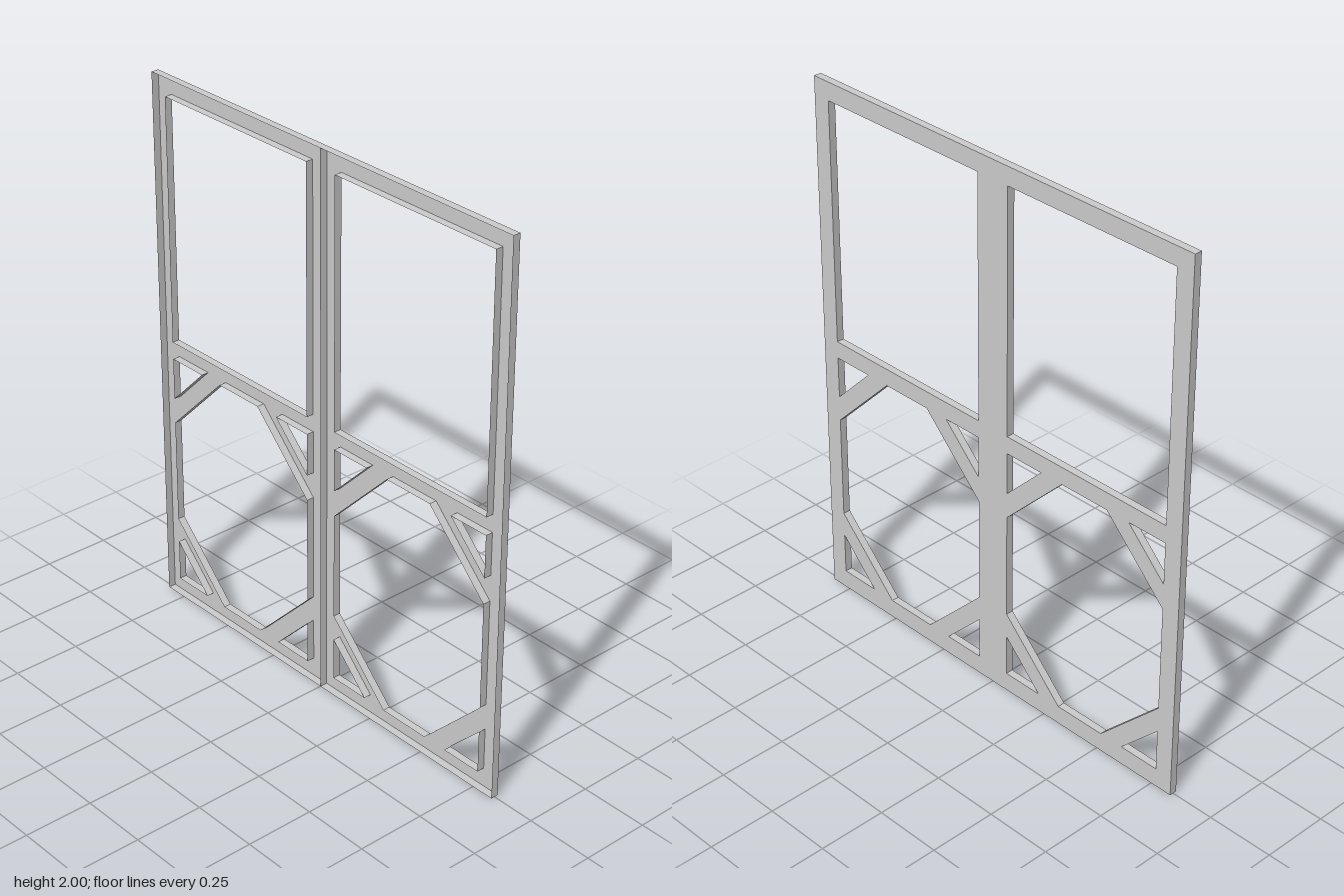
import * as THREE from 'three';

const DEPTH = 0.028;
const WIDTH = 0.835;
const HEIGHT = 2;
const STILE = 0.067;               // width of the uprights
const IN = STILE, OUT = WIDTH - STILE;
const WINDOW = [1.03, 1.933];      // bottom and top of the upper opening
const PANEL = [0.07, 0.965];       // bottom and top of the braced opening
const CUT = 0.251;                 // corner cut of the octagonal opening
const GUSSET = 0.156;              // legs of the small corner triangles

const material = new THREE.MeshStandardMaterial({ color: 0xcccccc, side: THREE.DoubleSide, flatShading: true });

const loop = (points, clockwise) => {
  const pts = points.map(([u, v]) => new THREE.Vector2(u, v));
  return THREE.ShapeUtils.isClockWise(pts) === clockwise ? pts : pts.reverse();
};
const rect = (u0, u1, v0, v1) => [[u0, v0], [u1, v0], [u1, v1], [u0, v1]];

// All openings of one leaf: window, octagon and four corner triangles
function openings() {
  const [b, t] = PANEL;
  const holes = [
    rect(IN, OUT, ...WINDOW),
    [[IN + CUT, b], [OUT - CUT, b], [OUT, b + CUT], [OUT, t - CUT],
      [OUT - CUT, t], [IN + CUT, t], [IN, t - CUT], [IN, b + CUT]],
  ];
  for (const [u, du] of [[IN, GUSSET], [OUT, -GUSSET]])
    for (const [v, dv] of [[b, GUSSET], [t, -GUSSET]])
      holes.push([[u, v], [u + du, v], [u, v + dv]]);
  return holes.map((h) => loop(h, true));
}

// Thin edge wall running back from the face along a closed loop
function wall(pts) {
  const pos = [];
  pts.forEach((p, i) => {
    const q = pts[(i + 1) % pts.length];
    const a = [p.x, p.y, 0], b = [q.x, q.y, 0];
    const c = [q.x, q.y, -DEPTH], d = [p.x, p.y, -DEPTH];
    pos.push(...a, ...d, ...c, ...a, ...c, ...b);
  });
  const g = new THREE.BufferGeometry();
  g.setAttribute('position', new THREE.Float32BufferAttribute(pos, 3));
  g.computeVertexNormals();
  return g;
}

// One leaf: a flat pierced face with edge walls, open at the back
function leaf(name) {
  const group = new THREE.Group();
  group.name = name;
  const add = (geometry, part) => {
    const mesh = new THREE.Mesh(geometry, material);
    mesh.name = part;
    group.add(mesh);
  };
  const outline = loop(rect(0, WIDTH, 0, HEIGHT), false);
  const holes = openings();
  const shape = new THREE.Shape(outline);
  shape.holes = holes.map((h) => new THREE.Path(h));
  add(new THREE.ShapeGeometry(shape), 'face');
  add(wall(outline), 'outerEdge');
  holes.forEach((h, i) => add(wall(h), ['windowEdge', 'octagonEdge'][i] ?? 'cornerEdge'));
  return group;
}

export function createModel() {
  const model = new THREE.Group();
  model.name = 'doubleFramePanel';
  // Two equal leaves side by side, faces turned to +x
  for (const [name, z] of [['frontLeaf', WIDTH], ['backLeaf', 0]]) {
    const part = leaf(name);
    part.rotation.y = Math.PI / 2;
    part.position.set(DEPTH / 2, 0, z);
    model.add(part);
  }
  return model;
}
